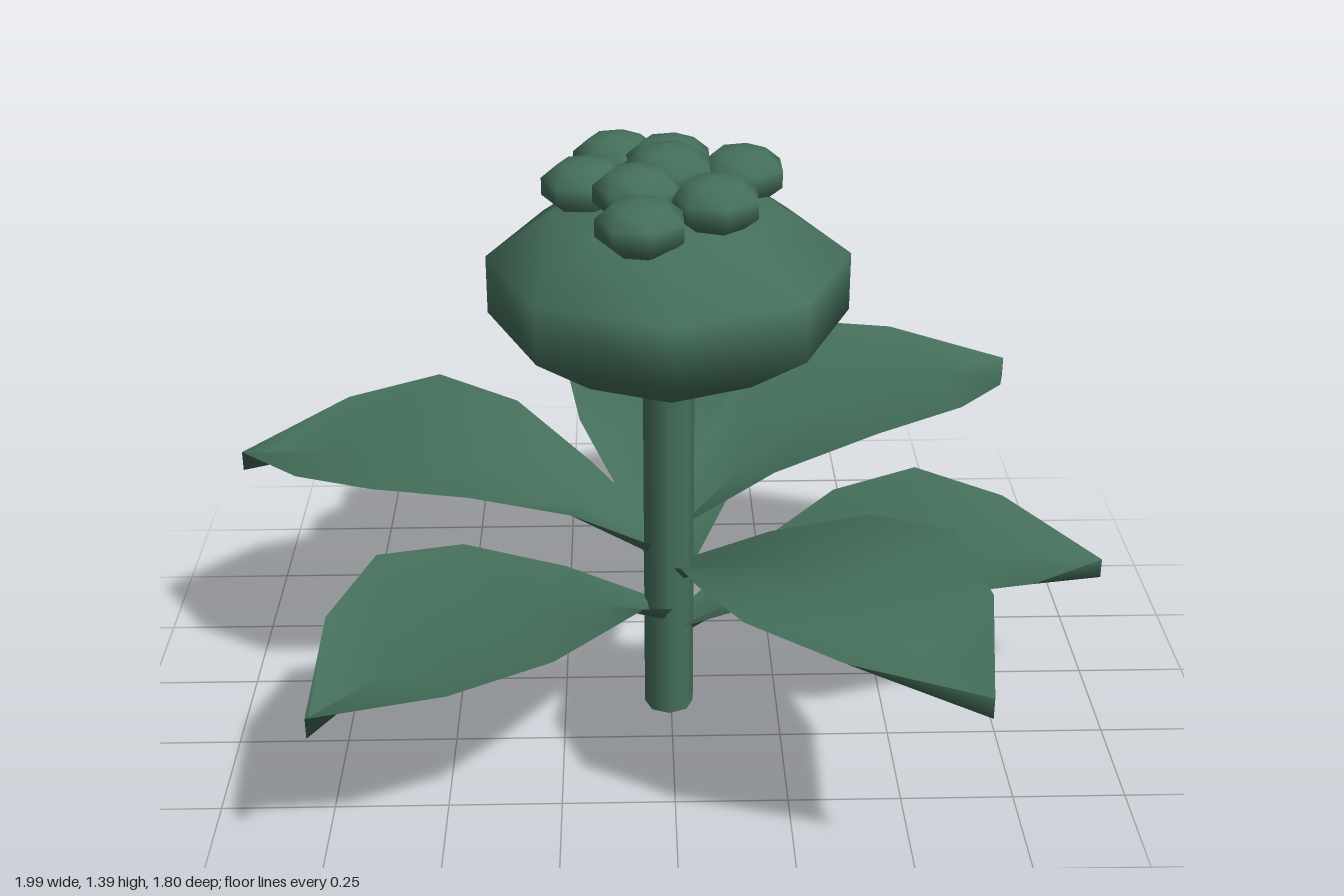
import * as THREE from 'three';

const leafGreen = new THREE.MeshStandardMaterial({ color: 0x456f5b, side: THREE.DoubleSide });
leafGreen.name = 'leafGreen';

function add(parent, name, geometry, x = 0, y = 0, z = 0) {
  const mesh = new THREE.Mesh(geometry, leafGreen);
  mesh.name = name;
  mesh.position.set(x, y, z);
  parent.add(mesh);
  return mesh;
}

// Arched leaf along +x, folded along a midrib lower than its edges
function leafGeometry() {
  const length = 1.005, fold = 0.047;
  const halfWidth = [0.03, 0.13, 0.245, 0.295, 0.205, 0];
  const ribHeight = [0.165, 0.295, 0.385, 0.417, 0.385, 0.325];
  const geometry = new THREE.PlaneGeometry(1, 1, 5, 2).rotateX(-Math.PI / 2);
  const p = geometry.attributes.position;
  for (let i = 0; i < p.count; i++) {
    const t = p.getX(i) + 0.5;
    const station = Math.round(t * 5);
    const side = Math.round(p.getZ(i) * 2);
    p.setXYZ(i, t * length, ribHeight[station] + Math.abs(side) * fold, side * halfWidth[station]);
  }
  geometry.computeVertexNormals();
  return geometry;
}

export function createModel() {
  const model = new THREE.Group();
  model.name = 'flower';

  // Everything grows around the stem axis
  const plant = new THREE.Group();
  plant.name = 'plant';
  plant.position.set(-0.005, 0, 0.1);
  model.add(plant);

  add(plant, 'stem', new THREE.CylinderGeometry(0.057, 0.057, 0.9, 8), 0, 0.45, 0);

  // Flattened bloom
  add(plant, 'bloom', new THREE.SphereGeometry(1, 8, 5).scale(0.412, 0.21, 0.412), 0, 1.075, 0);

  // Cluster of florets on top: x, y, z around the stem axis
  const florets = [
    [-0.11, 1.285, -0.205], [0.005, 1.3, -0.135], [0.16, 1.285, -0.105], [-0.175, 1.285, -0.035],
    [0, 1.325, -0.005], [0.095, 1.295, 0.11], [-0.065, 1.305, 0.07], [-0.06, 1.28, 0.2],
  ];
  const floretGeometry = new THREE.SphereGeometry(1, 7, 5).scale(0.1, 0.061, 0.1);
  florets.forEach(([x, y, z], i) => {
    add(plant, 'floret', floretGeometry, x, y, z).rotation.y = i * 0.9;
  });

  // Leaves spiral up the stem by the golden angle
  const leaf = leafGeometry();
  for (let i = 0; i < 6; i++) {
    add(plant, 'leaf', leaf, 0, i * 0.0537, 0).rotation.y = THREE.MathUtils.degToRad(-137.5 * i);
  }
  return model;
}
